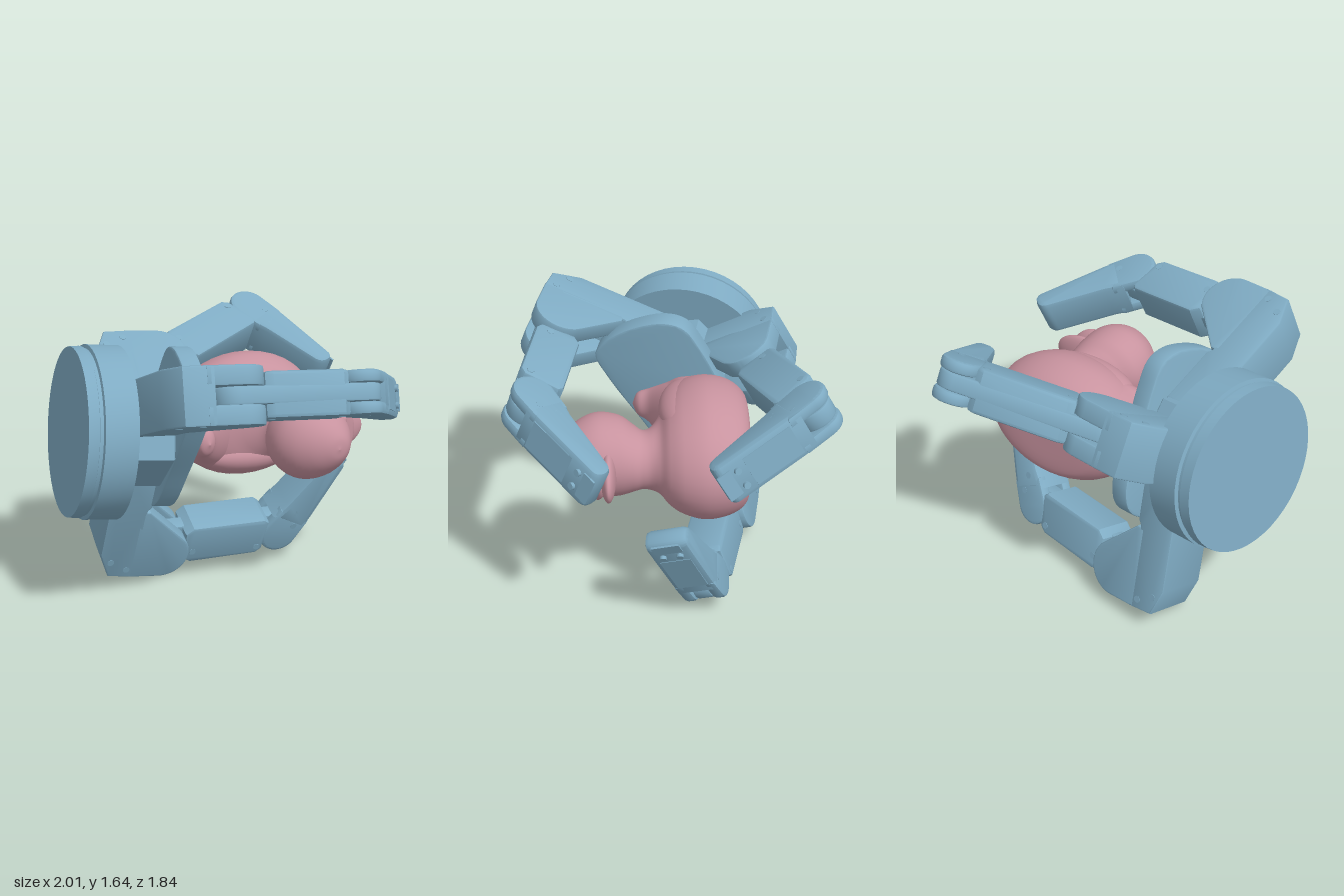
import * as THREE from 'three';
import { toCreasedNormals } from 'three/addons/utils/BufferGeometryUtils.js';
import { ParametricGeometry } from 'three/addons/geometries/ParametricGeometry.js';

const blue = new THREE.MeshStandardMaterial({ color: 0x7fabc3 });
const pink = new THREE.MeshStandardMaterial({ color: 0xc8939f });
const V = (x, y, z) => new THREE.Vector3(x, y, z);

// Hand axis, running from the back of the base towards the palm
const axis = V(0.97, -0.12, 0.21).normalize();
const origin = V(-0.885, 1.07, -0.185);

function add(parent, name, geometry, material, x = 0, y = 0, z = 0) {
  const m = new THREE.Mesh(geometry, material);
  m.name = name;
  m.position.set(x, y, z);
  parent.add(m);
  return m;
}

// Extrude a side profile, centred across its width, with small bevels
function slab(shape, width, bevel = 0.012) {
  const g = new THREE.ExtrudeGeometry(shape, {
    depth: width - 2 * bevel, bevelEnabled: true, bevelSize: bevel,
    bevelThickness: bevel, bevelOffset: -bevel, bevelSegments: 2, curveSegments: 14,
  });
  g.translate(0, 0, -width / 2 + bevel);
  return toCreasedNormals(g, 0.6);
}

const polygon = (pts) => new THREE.Shape(pts.map(([x, y]) => new THREE.Vector2(x, y)));

// Screw heads on both side faces of a link
function screws(parent, spots, width) {
  for (const [x, y] of spots) {
    const g = new THREE.CylinderGeometry(0.021, 0.021, width + 0.005, 14).rotateX(Math.PI / 2);
    add(parent, 'linkScrew', g, blue, x, y, 0);
  }
}

// Finger in its own plane: local x runs with the hand axis, local y inwards
function finger(name, j1, j2, tip, armLength) {
  const f = new THREE.Group();
  f.name = name;
  const w = j2.clone().sub(j1).cross(tip.clone().sub(j2)).normalize();
  const ex = axis.clone().addScaledVector(w, -axis.dot(w)).normalize();
  const ey = w.clone().cross(ex);
  f.quaternion.setFromRotationMatrix(new THREE.Matrix4().makeBasis(ex, ey, w));
  f.position.copy(j1);
  const local = (p) => new THREE.Vector2(p.clone().sub(j1).dot(ex), p.clone().sub(j1).dot(ey));
  const p2 = local(j2), p3 = local(tip);

  // Arm reaching out from the hub
  add(f, 'arm', slab(polygon([[-0.4, armLength], [-0.4, 0.02], [-0.33, -0.15], [-0.16, -0.165],
    [-0.16, 0.35], [-0.14, 0.38], [-0.14, armLength]]), 0.32), blue);
  screws(f, [[-0.33, -0.04], [-0.22, -0.1]], 0.32);

  // Forked knuckle with rounded nose
  const cheek = new THREE.Shape();
  cheek.moveTo(-0.2, -0.163);
  cheek.lineTo(0, -0.167);
  cheek.absarc(0, 0, 0.167, -Math.PI / 2, Math.PI / 4, false);
  cheek.lineTo(-0.14, 0.34);
  cheek.lineTo(-0.2, 0.34);
  for (const s of [-1, 1]) add(f, 'knuckleCheek', slab(cheek, 0.11), blue, 0, 0, s * 0.105);

  // Middle link with tongues at both joints
  const mid = new THREE.Group();
  mid.name = 'middleLink';
  mid.rotation.z = Math.atan2(p2.y, p2.x);
  f.add(mid);
  const d = p2.length();
  add(mid, 'middleBody', slab(polygon([[0.15, -0.09], [0.19, -0.115], [d - 0.15, -0.115], [d - 0.11, -0.085],
    [d - 0.08, 0.12], [d - 0.11, 0.145], [0.2, 0.15], [0.15, 0.11]]), 0.255, 0.02), blue);
  const tongue = new THREE.Shape();
  tongue.absarc(0, 0, 0.12, Math.PI / 2, Math.PI * 1.5, false);
  tongue.lineTo(d, -0.114);
  tongue.absarc(d, 0, 0.114, -Math.PI / 2, Math.PI / 2, false);
  add(mid, 'jointTongue', slab(tongue, 0.1), blue);
  screws(mid, [[0.2, -0.03], [d - 0.15, -0.06]], 0.255);

  // Fingertip link: forked and round at the joint, slimmer at the end
  const far = new THREE.Group();
  far.name = 'fingertip';
  far.position.set(p2.x, p2.y, 0);
  far.rotation.z = Math.atan2(p3.y - p2.y, p3.x - p2.x);
  f.add(far);
  const L = p3.distanceTo(p2);
  const fork = new THREE.Shape();
  fork.absarc(0, 0, 0.123, Math.PI / 2, Math.PI * 1.5, false);
  fork.lineTo(0.17, -0.117);
  fork.lineTo(0.17, 0.108);
  for (const s of [-1, 1]) add(far, 'forkCheek', slab(fork, 0.072, 0.02), blue, 0, 0, s * 0.088);
  const s = new THREE.Shape();
  s.moveTo(0.1, 0.12);
  s.lineTo(0.1, -0.12);
  s.lineTo(0.2, -0.115);
  s.lineTo(L - 0.04, -0.07);
  s.quadraticCurveTo(L, -0.06, L, -0.02);
  s.quadraticCurveTo(L, 0.06, L - 0.07, 0.065);
  s.lineTo(0.22, 0.095);
  add(far, 'fingertipBody', slab(s, 0.25, 0.03), blue);
  screws(far, [[0.1, -0.04], [0.19, 0.02]], 0.245);

  // Outer cover, nail and its two pins
  const cover = add(far, 'outerCover', new THREE.BoxGeometry(0.3, 0.012, 0.18), blue, 0.33, -0.099, 0);
  cover.rotation.z = 0.12;
  const nail = add(far, 'nail', new THREE.BoxGeometry(0.08, 0.012, 0.16), blue, L - 0.035, -0.071, 0);
  nail.rotation.z = 0.05;
  for (const z of [-0.05, 0.05])
    add(far, 'pin', new THREE.CylinderGeometry(0.02, 0.02, 0.03, 12), blue, L - 0.11, -0.08, z);
  return f;
}

// Smooth loft through oval sections [z, centre x, x radius, y radius]
function loft(sections, stacks) {
  const a = new THREE.CatmullRomCurve3(sections.map(([z, c, rx]) => V(z, c, rx)), false, 'catmullrom');
  const b = new THREE.CatmullRomCurve3(sections.map(([z, , , ry]) => V(z, ry, 0)), false, 'catmullrom');
  return new ParametricGeometry((u, v, out) => {
    const p = a.getPoint(v), ry = b.getPoint(v).y, t = u * Math.PI * 2;
    out.set(p.y + p.z * Math.cos(t), ry * Math.sin(t), p.x);
  }, 40, stacks);
}

function ellipsoid(parent, name, pos, r) {
  return add(parent, name, new THREE.SphereGeometry(1, 28, 18).scale(...r), pink, ...pos);
}

// Bath duck lying on its back: its head points to +z and its beak to +x
function duck() {
  const g = new THREE.Group();
  g.name = 'duck';
  g.position.y = 0.975;
  add(g, 'bodyAndHead', loft([
    [-0.455, 0.32, 0.001, 0.001], [-0.45, 0.32, 0.27, 0.22], [-0.42, 0.32, 0.39, 0.3], [-0.33, 0.31, 0.465, 0.355],
    [-0.2, 0.31, 0.485, 0.378], [-0.08, 0.31, 0.455, 0.345], [0, 0.34, 0.37, 0.285], [0.05, 0.39, 0.26, 0.21],
    [0.1, 0.43, 0.185, 0.175], [0.15, 0.44, 0.17, 0.165], [0.2, 0.42, 0.2, 0.185], [0.28, 0.39, 0.235, 0.225],
    [0.4, 0.38, 0.243, 0.24], [0.5, 0.385, 0.21, 0.205], [0.58, 0.4, 0.145, 0.14], [0.63, 0.42, 0.07, 0.07],
    [0.645, 0.42, 0.001, 0.001]], 70), pink);
  add(g, 'tail', loft([
    [-0.4, 0.16, 0.001, 0.001], [-0.3, 0.12, 0.25, 0.28], [-0.1, 0.06, 0.26, 0.275], [0, -0.04, 0.165, 0.195],
    [0.1, -0.145, 0.078, 0.11], [0.17, -0.17, 0.05, 0.07], [0.2, -0.17, 0.001, 0.001]], 30), pink);
  for (const s of [-1, 1]) {
    const wing = ellipsoid(g, 'wing', [0.25, s * 0.21, -0.11], [0.32, 0.12, 0.165]);
    wing.rotation.z = s * 0.08;
    ellipsoid(g, 'eye', [0.545, s * 0.115, 0.47], [0.035, 0.035, 0.042]);
  }
  // Upper and lower bill, the upper one curling up at its sides
  const bill = new THREE.SphereGeometry(1, 28, 18).scale(0.16, 0.16, 0.05);
  const p = bill.attributes.position;
  for (let i = 0; i < p.count; i++) p.setZ(i, p.getZ(i) + 1.2 * Math.pow(p.getY(i), 2));
  bill.computeVertexNormals();
  add(g, 'upperBill', bill, pink, 0.55, 0, 0.38);
  ellipsoid(g, 'lowerBill', [0.58, 0, 0.34], [0.215, 0.13, 0.045]);
  return g;
}

export function createModel() {
  const model = new THREE.Group();
  model.name = 'gripperHoldingDuck';

  // Round base with grooves, and the faceted hub in front of it
  const turned = (name, profile, segments) => {
    const g = new THREE.LatheGeometry(profile.map(([r, t]) => new THREE.Vector2(r, t)), segments);
    const m = add(model, name, toCreasedNormals(g, 0.5), blue);
    m.position.copy(origin);
    m.quaternion.setFromUnitVectors(V(0, 1, 0), axis);
  };
  turned('base', [[0, 0], [0.485, 0], [0.49, 0.06], [0.478, 0.065], [0.478, 0.085], [0.5, 0.09],
    [0.5, 0.28], [0, 0.28]], 48);
  turned('hub', [[0, 0.27], [0.31, 0.27], [0.31, 0.55], [0.26, 0.6], [0, 0.6]], 6);

  // Palm plate: a thick rounded triangle, listed as [z, y]
  const outline = [[0.42, 1.24], [0.36, 1.34], [0.2, 1.45], [0, 1.51], [-0.12, 1.48], [-0.22, 1.34], [-0.35, 1.08],
    [-0.47, 0.84], [-0.46, 0.68], [-0.32, 0.56], [-0.12, 0.51], [0, 0.57], [0.18, 0.82], [0.36, 1.1]];
  const loop = new THREE.CatmullRomCurve3(outline.map(([z, y]) => V(-(z + 0.045), y - 0.99, 0)), true);
  const plate = slab(polygon(loop.getPoints(70).slice(0, -1).map((q) => [q.x, q.y])), 0.12);
  const palm = add(model, 'palm', plate, blue);
  const px = V(0, 1, 0).cross(axis).normalize();
  palm.quaternion.setFromRotationMatrix(new THREE.Matrix4().makeBasis(px, axis.clone().cross(px), axis));
  palm.position.copy(origin).addScaledVector(axis, 0.62);

  // Three fingers, each given by its two joints and its tip
  model.add(
    finger('frontFinger', V(-0.29, 1.405, 0.645), V(0.455, 1.34, 0.768), V(0.945, 1.12, 0.385), 0.74),
    finger('backFinger', V(-0.125, 1.245, -0.525), V(0.66, 1.405, -0.76), V(0.925, 1.12, -0.25), 0.55),
    finger('lowerFinger', V(-0.225, 0.19, -0.37), V(0.53, 0.193, -0.2), V(0.815, 0.72, 0.035), 0.8),
  );
  model.add(duck());
  return model;
}
